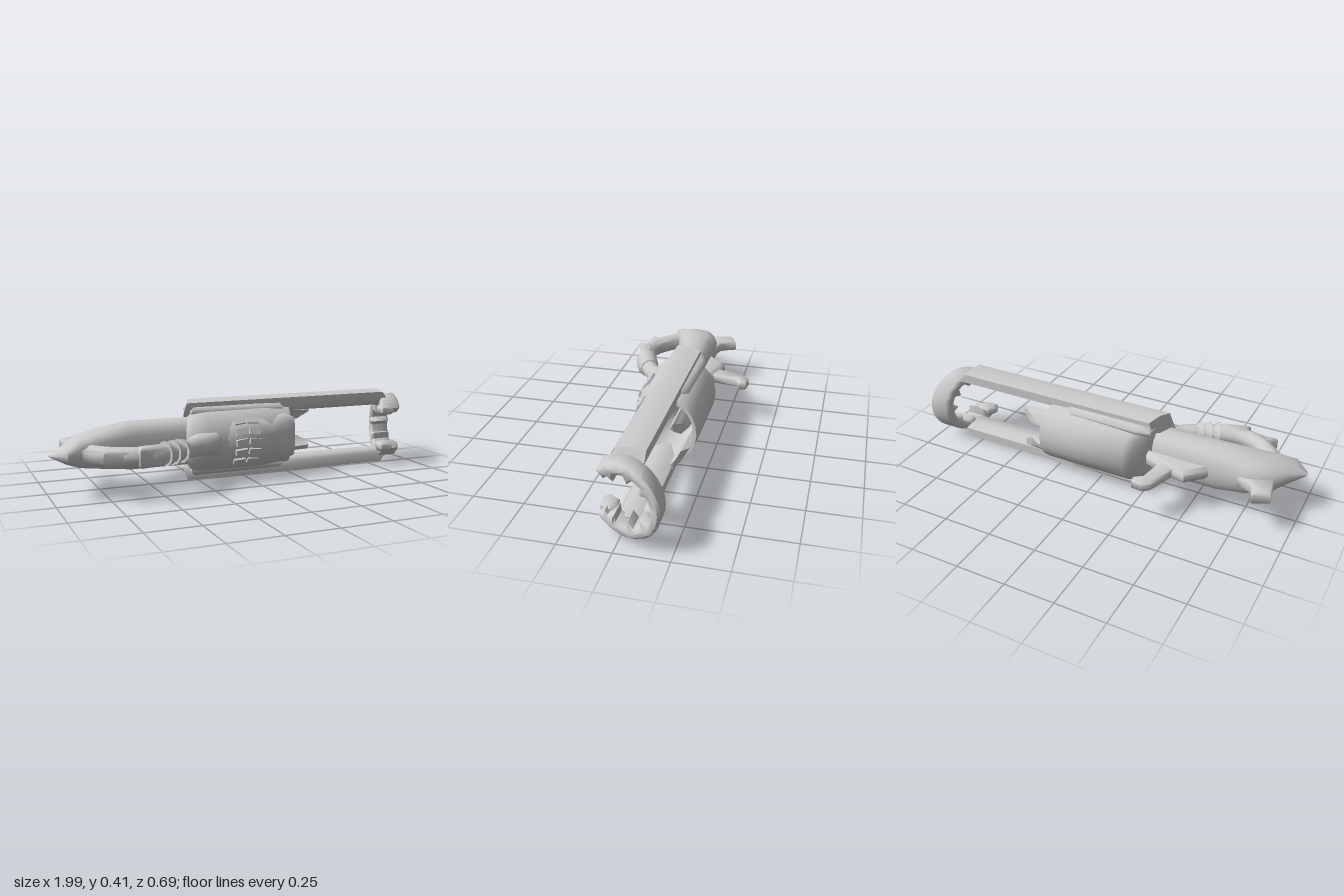
import * as THREE from 'three';
import { toCreasedNormals } from 'three/addons/utils/BufferGeometryUtils.js';

const MID = 0.205; // height of the plane of symmetry
const AXIS = -0.03; // z of the barrel axis
const material = new THREE.MeshStandardMaterial({ color: 0xcccccc, side: THREE.DoubleSide });

export function createModel() {
  const group = new THREE.Group();

  const add = (name, geometry, crease = 0.9) => {
    const mesh = new THREE.Mesh(toCreasedNormals(geometry, crease), material);
    mesh.name = name;
    group.add(mesh);
    return mesh;
  };

  // Skin along x; each section is [x, zMin, zMax, halfHeight, shear]
  const loft = (sections, sides = 16, power = 0.85) => {
    const pos = [], index = [];
    const soft = (v) => Math.sign(v) * Math.abs(v) ** power;
    for (const [x, z0, z1, h, shear = 0] of sections) {
      for (let j = 0; j < sides; j++) {
        const a = (j / sides) * Math.PI * 2;
        const z = (z0 + z1) / 2 + (soft(Math.sin(a)) * (z1 - z0)) / 2;
        pos.push(x - shear * z, MID + soft(Math.cos(a)) * h, z);
      }
    }
    for (let i = 0; i < sections.length - 1; i++) {
      for (let j = 0; j < sides; j++) {
        const a = i * sides + j, b = i * sides + ((j + 1) % sides);
        index.push(a, b, a + sides, b, b + sides, a + sides);
      }
    }
    const g = new THREE.BufferGeometry();
    g.setAttribute('position', new THREE.Float32BufferAttribute(pos, 3));
    g.setIndex(index);
    g.computeVertexNormals();
    return g;
  };

  // Plate outlined in x/z with its thickness along y
  const plate = (points, half, y = MID, bevel = 0.008) => {
    const shape = new THREE.Shape(points.map(([x, z]) => new THREE.Vector2(x, -z)));
    const g = new THREE.ExtrudeGeometry(shape, {
      depth: 2 * (half - bevel), bevelEnabled: true, bevelSize: bevel,
      bevelThickness: bevel, bevelOffset: -bevel, bevelSegments: 1,
    });
    return g.translate(0, 0, bevel - half).rotateX(-Math.PI / 2).translate(0, y, 0);
  };

  // Cross-section in z/y (y from the middle) run from x0 to x1, then each point moved by a rule
  const alongX = (points, x0, x1, bevel, rule) => {
    const shape = new THREE.Shape(points.map(([z, y]) => new THREE.Vector2(-z, y)));
    const g = new THREE.ExtrudeGeometry(shape, {
      depth: x1 - x0 - 2 * bevel, bevelEnabled: bevel > 0, bevelThickness: bevel,
      bevelSize: bevel, bevelOffset: -bevel, bevelSegments: 1,
    });
    g.rotateY(Math.PI / 2).translate(x0 + bevel, MID, 0);
    const p = g.attributes.position, v = new THREE.Vector3();
    for (let i = 0; i < p.count; i++) {
      rule(v.fromBufferAttribute(p, i));
      p.setXYZ(i, v.x, v.y, v.z);
    }
    g.computeVertexNormals();
    return g;
  };

  // Ring sector round the barrel axis; angle 0 points to the back
  const sector = (from, to, steps, outer, inner) => {
    const at = (r, i) => {
      const a = from + ((to - from) * i) / steps;
      return [AXIS - Math.cos(a) * r, Math.sin(a) * r];
    };
    const points = [];
    for (let i = 0; i <= steps; i++) points.push(at(outer, i));
    for (let i = steps; i >= 0; i--) points.push(at(inner(i), i));
    return points;
  };

  // Shoulder stock tapering to the rear tip
  add('stock', loft([
    [-1, 0.1, 0.12, 0.004], [-0.93, 0.02, 0.19, 0.04], [-0.86, -0.065, 0.165, 0.072],
    [-0.76, -0.1, 0.135, 0.092], [-0.6, -0.1, 0.09, 0.118], [-0.28, -0.1, 0.085, 0.118],
  ], 16, 0.75));
  add('stockHorn', plate([[-0.88, -0.03], [-0.905, -0.16], [-0.825, -0.2], [-0.81, -0.16],
    [-0.785, -0.12], [-0.72, -0.1], [-0.74, -0.05]], 0.028));

  // Rear sight and its base
  add('rearSight', plate([[-0.46, -0.1], [-0.425, -0.185], [-0.38, -0.32], [-0.345, -0.35],
    [-0.29, -0.345], [-0.28, -0.31], [-0.32, -0.28], [-0.34, -0.16], [-0.3, -0.1]], 0.024));
  add('sightBase', plate([[-0.585, -0.09], [-0.49, -0.195], [-0.425, -0.185],
    [-0.275, -0.14], [-0.24, -0.08]], 0.035, MID, 0.02));

  // Rounded main housing with slanted ends and a deep funnel in the front
  add('mainHousing', loft([
    [-0.3, -0.03, 0, 0.02, 0.4], [-0.3, -0.12, 0.1, 0.13, 0.4], [-0.27, -0.175, 0.125, 0.168, 0.4],
    [-0.21, -0.204, 0.14, 0.172, 0.2], [0.08, -0.204, 0.135, 0.172, 0.1],
    [0.25, -0.202, 0.11, 0.165, 0.25], [0.25, -0.185, 0.1, 0.145, 0.25],
    [-0.14, -0.155, -0.151, 0.002],
  ], 20, 0.95));

  for (const s of [1, -1]) {
    const side = s > 0 ? 'upper' : 'lower';

    // Long side rail with slanted rear end and chamfered nose
    const railSection = [[0.035, 0.192], [-0.03, 0.204], [-0.1, 0.192], [-0.1, 0.145],
      [-0.05, 0.122], [0.015, 0.122], [0.035, 0.14]].map(([z, y]) => [z, s * y]);
    add(side + 'Rail', alongX(railSection, -0.31, 0.81, 0, (v) => {
      const outside = Math.abs(v.y - MID) > 0.17;
      if (v.x < 0) v.x += -0.38 * v.z + (outside ? 0.01 : -0.01);
      else if (!outside) v.x += 0.04;
    }));

    // Curved prong continuing the back shell forward
    add(side + 'Prong', alongX(sector(s * 0.4, s * 0.95, 4, 0.168, () => 0.135), 0.1, 0.435, 0, (v) => {
      if (v.x < 0.2) return;
      v.x -= Math.max(0, -0.13 - v.z) * 2;
      v.y = MID + (v.y - MID) * 0.88;
      v.z = AXIS + (v.z - AXIS) * 0.93;
    }));

    // Shoulder plate joining housing and rail
    add(side + 'Shoulder', plate([[-0.28, -0.12], [-0.2, -0.14], [0.15, -0.13], [0.22, -0.09],
      [0.2, 0.05], [-0.3, 0.06]], 0.025, MID + s * 0.145, 0.018));

    // Small claw curling inward at the open end of the hoop
    add(side + 'Claw', plate([[0.78, 0.03], [0.755, 0.075], [0.77, 0.105], [0.84, 0.1],
      [0.86, 0.05], [0.83, 0.02]], 0.025, MID + s * 0.1, 0.012));
  }

  // Toothed muzzle hoop round the barrel axis, open below and leaning forward at the back
  const toothed = (i) => (i % 4 === 2 ? 0.095 : 0.125);
  add('muzzleHoop', alongX(sector(-2.45, 2.45, 28, 0.172, toothed), 0.815, 0.93, 0.012, (v) => {
    v.x -= 0.36 * (v.z - AXIS);
  }));

  // Looped hand grip below the stock
  const gripPath = new THREE.CatmullRomCurve3([
    [-0.17, 0.08], [-0.265, 0.12], [-0.345, 0.185], [-0.45, 0.245],
    [-0.61, 0.282], [-0.72, 0.25], [-0.82, 0.15],
  ].map(([x, z]) => new THREE.Vector3(x, MID, z)));
  add('gripLoop', new THREE.TubeGeometry(gripPath, 32, 0.046, 10));
  for (const t of [0.37, 0.43, 0.49]) {
    const rib = add('gripRib', new THREE.CylinderGeometry(0.06, 0.05, 0.03, 10));
    rib.position.copy(gripPath.getPointAt(t));
    rib.quaternion.setFromUnitVectors(new THREE.Vector3(0, 1, 0), gripPath.getTangentAt(t));
  }
  add('gripSpur', plate([[-0.64, 0.34], [-0.64, 0.26], [-0.5, 0.24], [-0.5, 0.305]], 0.046, MID, 0.012));
  add('gripHeel', plate([[-0.795, 0.3], [-0.77, 0.26], [-0.86, 0.17], [-0.78, 0.14],
    [-0.7, 0.21], [-0.63, 0.25], [-0.63, 0.31]], 0.036, MID, 0.012));
  add('gripCollar', loft([[-0.36, 0.13, 0.2, 0.035], [-0.3, 0.07, 0.195, 0.055],
    [-0.2, 0.05, 0.18, 0.06], [-0.16, 0.05, 0.13, 0.04]], 10));

  // Fore grip pad with rows of raised ridges
  add('foreGrip', loft([
    [-0.19, 0.05, 0.12, 0.07], [-0.1, 0, 0.15, 0.11], [0.03, 0, 0.155, 0.115],
    [0.11, 0.01, 0.132, 0.1], [0.19, 0.04, 0.13, 0.12], [0.24, 0.07, 0.115, 0.1], [0.235, 0.085, 0.09, 0.01],
  ], 14, 0.95));
  for (let row = -2; row <= 2; row++) {
    for (const x of [-0.07, 0]) {
      const ridge = add('foreGripRidge', new THREE.BoxGeometry(0.06, 0.032, 0.03));
      ridge.position.set(x, MID + row * 0.047, 0.151 - row * row * 0.01);
      ridge.rotation.set(-row * 0.35, 0, x < -0.03 ? 0.12 : -0.12);
    }
  }
  return group;
}
